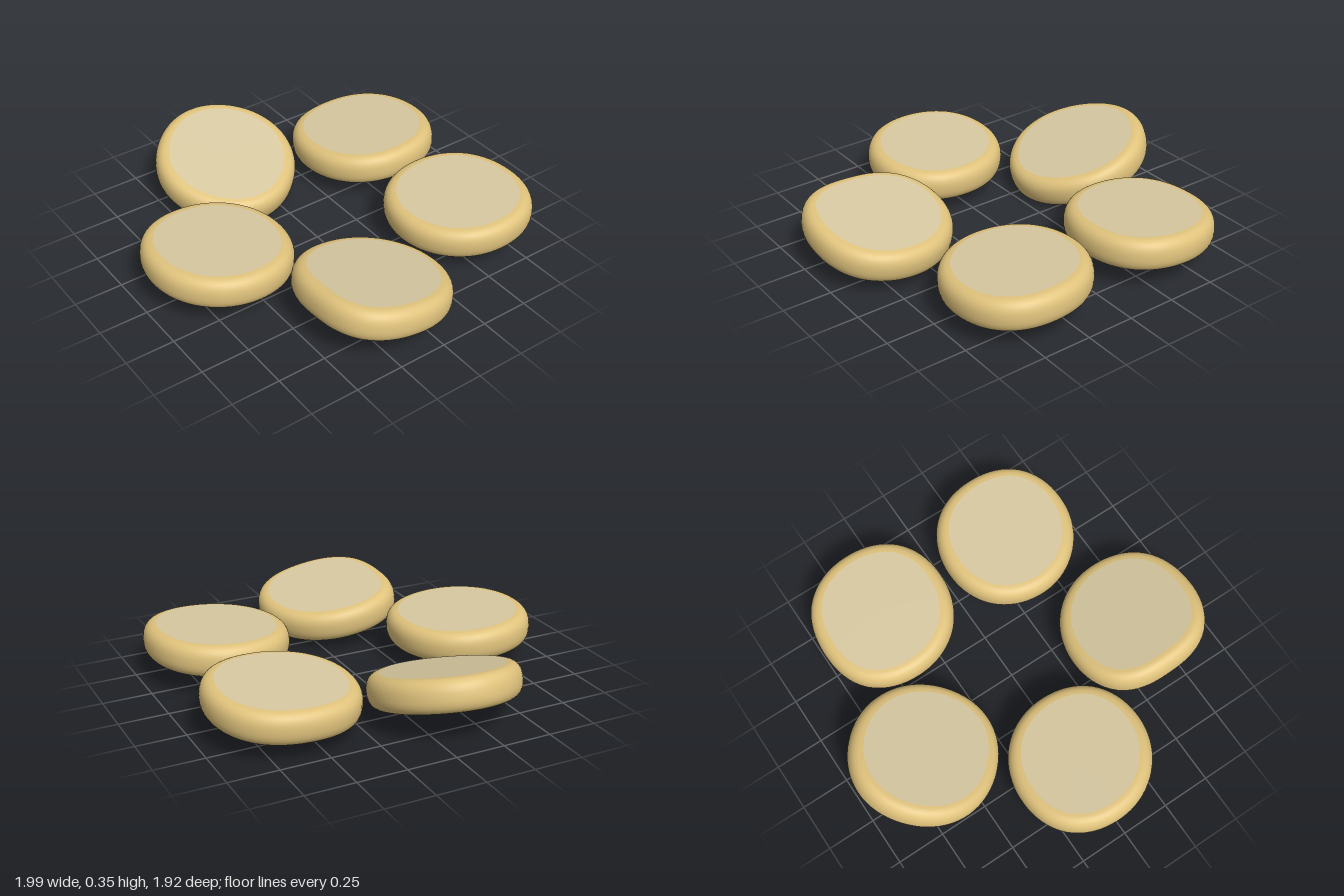
import * as THREE from 'three';

const SEGMENTS = 72;
const HALF_HEIGHT = 0.082;
const RIM_DEPTH = 0.066;

// Radius at any angle, smoothly blended through eight radii 45 degrees apart
function outlineRadius(radii, angle) {
  const t = (angle / (Math.PI * 2)) * 8;
  const i = Math.floor(t);
  const f = t - i;
  const [a, b, c, d] = [-1, 0, 1, 2].map((k) => radii[(i + k + 8) % 8]);
  return b + 0.5 * f * (c - a + f * (2 * a - 5 * b + 4 * c - d + f * (3 * (b - c) + d - a)));
}

// One ring of points following the outline, pulled in by an inset
function ring(radii, inset, y) {
  const points = [];
  for (let i = 0; i < SEGMENTS; i++) {
    const angle = (i / SEGMENTS) * Math.PI * 2;
    const r = outlineRadius(radii, angle) - inset;
    points.push(r * Math.cos(angle), y, r * Math.sin(angle));
  }
  return points;
}

function toGeometry(positions, indices) {
  const geometry = new THREE.BufferGeometry();
  geometry.setAttribute('position', new THREE.Float32BufferAttribute(positions, 3));
  geometry.setIndex(indices);
  geometry.computeVertexNormals();
  return geometry;
}

// Rounded crust running from the bottom face up to the top face
function rimGeometry(radii) {
  const steps = 18;
  const positions = [];
  const indices = [];
  for (let j = 0; j <= steps; j++) {
    const a = (j / steps - 0.5) * Math.PI;
    const out = Math.pow(Math.max(0, Math.cos(a)), 0.85);
    const up = Math.sign(a) * Math.pow(Math.abs(Math.sin(a)), 0.85);
    positions.push(...ring(radii, RIM_DEPTH * (1 - out), HALF_HEIGHT * up));
  }
  for (let j = 0; j < steps; j++) {
    for (let i = 0; i < SEGMENTS; i++) {
      const n = (i + 1) % SEGMENTS;
      const a = j * SEGMENTS + i;
      const b = j * SEGMENTS + n;
      indices.push(a, a + SEGMENTS, b, b, a + SEGMENTS, b + SEGMENTS);
    }
  }
  return toGeometry(positions, indices);
}

// Flat cut face; side is 1 for top and -1 for bottom
function faceGeometry(radii, side) {
  const y = side * HALF_HEIGHT;
  const positions = [...ring(radii, RIM_DEPTH, y), 0, y, 0];
  const indices = [];
  for (let i = 0; i < SEGMENTS; i++) {
    const n = (i + 1) % SEGMENTS;
    if (side > 0) indices.push(SEGMENTS, n, i);
    else indices.push(SEGMENTS, i, n);
  }
  return toGeometry(positions, indices);
}

export function createModel() {
  const crust = new THREE.MeshStandardMaterial({ color: 0xdfc27c });
  crust.name = 'golden crust';
  const flesh = new THREE.MeshStandardMaterial({ color: 0xd6c8a0 });
  flesh.name = 'pale flesh';

  // Centre, rise along x and z, and radii starting at +x and turning toward +z
  const slices = [
    { name: 'frontSlice', at: [0, 0.18, 0.598], slope: [0, 0.06],
      radii: [0.362, 0.355, 0.357, 0.373, 0.355, 0.355, 0.36, 0.378] },
    { name: 'rightSlice', at: [-0.622, 0.18, 0.152], slope: [-0.3, -0.03],
      radii: [0.385, 0.37, 0.372, 0.37, 0.385, 0.375, 0.37, 0.372] },
    { name: 'leftSlice', at: [0.633, 0.18, 0.133], slope: [0.07, 0.16],
      radii: [0.365, 0.385, 0.357, 0.39, 0.365, 0.355, 0.357, 0.375] },
    { name: 'backRightSlice', at: [-0.396, 0.18, -0.588], slope: [0.05, -0.04],
      radii: [0.36, 0.365, 0.368, 0.385, 0.36, 0.372, 0.368, 0.38] },
    { name: 'backLeftSlice', at: [0.368, 0.18, -0.604], slope: [-0.02, -0.05],
      radii: [0.363, 0.358, 0.362, 0.372, 0.36, 0.363, 0.36, 0.382] },
  ];

  const model = new THREE.Group();
  model.name = 'sliceRing';
  const up = new THREE.Vector3(0, 1, 0);
  for (const { name, at, slope, radii } of slices) {
    const slice = new THREE.Group();
    slice.name = name;
    const parts = [
      ['crustRim', rimGeometry(radii), crust],
      ['topFace', faceGeometry(radii, 1), flesh],
      ['bottomFace', faceGeometry(radii, -1), flesh],
    ];
    for (const [partName, geometry, material] of parts) {
      const mesh = new THREE.Mesh(geometry, material);
      mesh.name = partName;
      slice.add(mesh);
    }
    slice.position.set(...at);
    slice.quaternion.setFromUnitVectors(up, new THREE.Vector3(-slope[0], 1, -slope[1]).normalize());
    model.add(slice);
  }
  return model;
}
